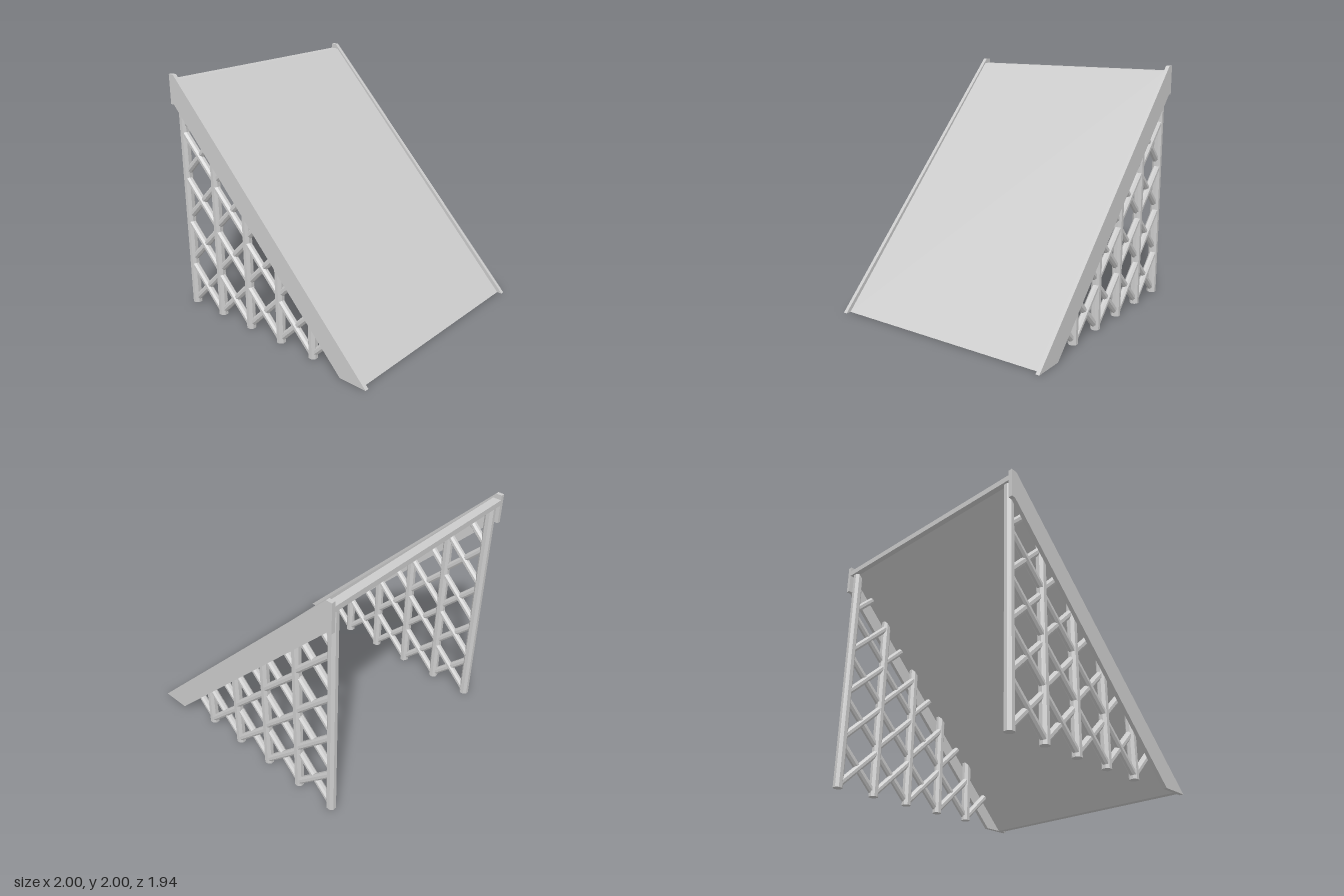
import * as THREE from 'three';

const SLOPE = 1.025;
const POST_Z = 0.895;
const PITCH_X = 0.343, PITCH_Y = 0.385, FIRST_X = -0.948;

// height of the deck's underside at x
const under = (x) => Math.min(1.915, SLOPE * (0.956 - x) - 0.05);

export function createModel() {
  const model = new THREE.Group();
  const material = new THREE.MeshStandardMaterial({ color: 0xcccccc, flatShading: true });

  const add = (parent, geometry, name) => {
    const mesh = new THREE.Mesh(geometry, material);
    mesh.name = name;
    parent.add(mesh);
    return mesh;
  };

  // side profile extruded along z
  const slab = (points, z0, z1, name) => {
    const shape = new THREE.Shape(points.map(([x, y]) => new THREE.Vector2(x, y)));
    const geometry = new THREE.ExtrudeGeometry(shape, { depth: z1 - z0, bevelEnabled: false });
    geometry.translate(0, 0, z0);
    add(model, geometry, name);
  };

  // eight-sided beam with flats facing the axes
  const beam = (width, length) =>
    new THREE.CylinderGeometry(width / 2 / Math.cos(Math.PI / 8), width / 2 / Math.cos(Math.PI / 8),
      length, 8, 1, false, Math.PI / 8);

  // sloping deck with a short level lip at the top
  slab([[-1, 1.96], [-1, 1.915], [-0.955, 1.915], [0.905, 0], [0.956, 0], [-0.93, 1.96]],
    -0.94, 0.94, 'deck');

  // side boards
  const board = [[-1, 2], [-1, 1.76], [-0.965, 1.76], [0.755, 0], [1, 0], [-0.95, 2]];
  slab(board, 0.938, 0.97, 'leftSideBoard');
  slab(board, -0.97, -0.938, 'rightSideBoard');

  for (const side of [1, -1]) {
    const frame = new THREE.Group();
    frame.name = side > 0 ? 'frontTrellis' : 'backTrellis';
    model.add(frame);

    // brace between two points
    const brace = (x0, y0, x1, y1, z) => {
      const mesh = add(frame, beam(0.053, Math.hypot(x1 - x0, y1 - y0)), 'brace');
      mesh.position.set((x0 + x1) / 2, (y0 + y1) / 2, z);
      mesh.rotation.z = Math.atan2(y1 - y0, x1 - x0) - Math.PI / 2;
    };

    for (let i = 0; i < 5; i++) {
      const x = FIRST_X + i * PITCH_X;

      // post with its top cut along the slope
      const post = beam(0.072, 2);
      const p = post.attributes.position;
      for (let k = 0; k < p.count; k++) {
        p.setY(k, p.getY(k) > 0 ? under(x + p.getX(k)) : 0.003);
      }
      add(frame, post, 'post').position.set(x, 0, side * POST_Z);

      // crossed braces, cut off under the deck
      const cx = x + PITCH_X / 2, h = PITCH_X / 2;
      const rows = 5 - i;
      for (let j = 0; j < rows; j++) {
        const cy = 0.205 + j * PITCH_Y;
        let t = h;
        while (cy + t > under(cx + t) - 0.005) t -= 0.005;
        brace(cx - h, cy - h, cx + t, cy + t, side * (POST_Z - 0.005));
        if (j < rows - 1) brace(cx - h, cy + h, cx + h, cy - h, side * (POST_Z + 0.005));
      }
    }
  }
  return model;
}
